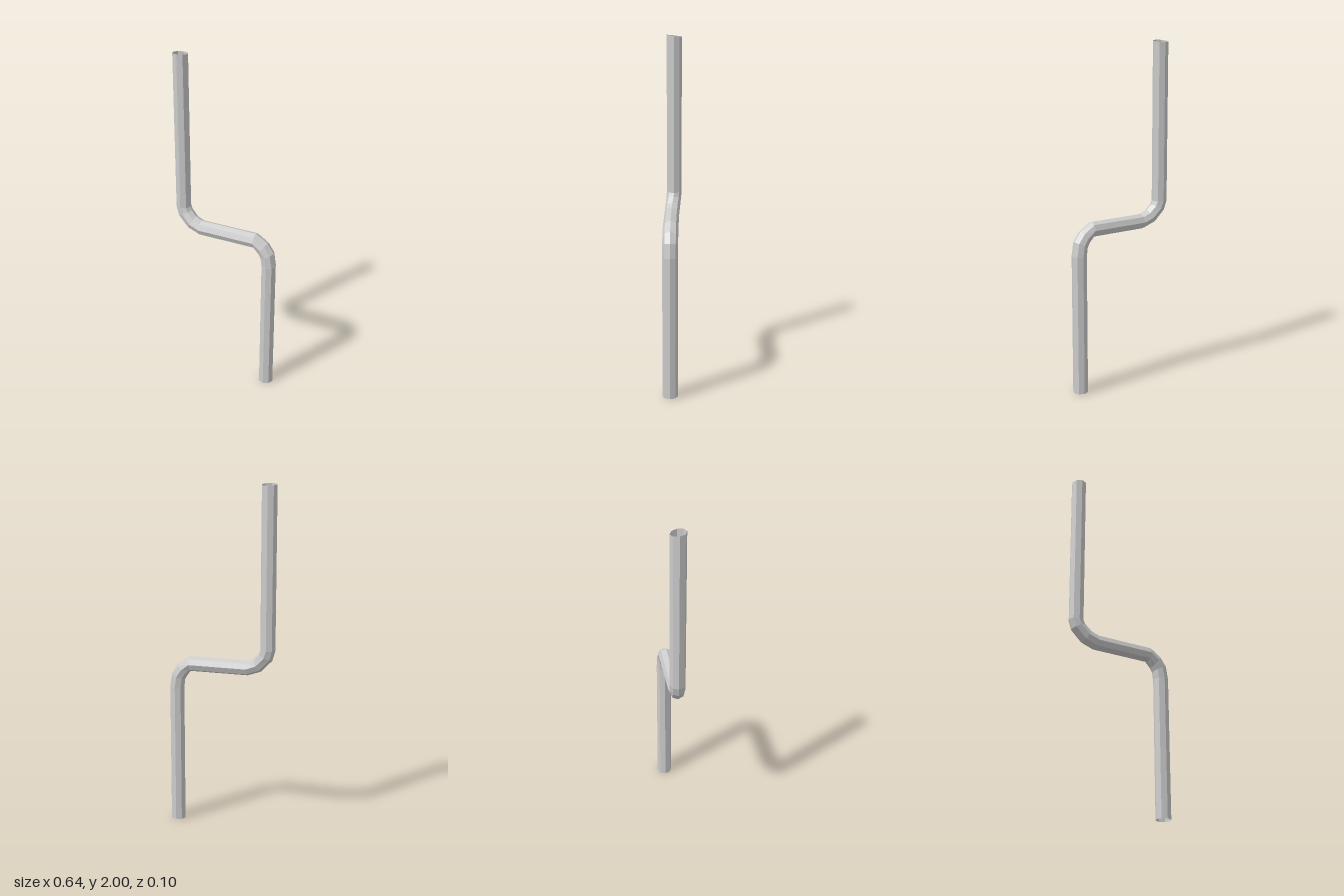
import * as THREE from 'three';

const SIDES = 8;
const RADIUS = 0.044;

// Rings along the pipe, bottom to top: centre x, y, z and heading in degrees
const RINGS = [
  [0.274, 0, 0.006, 90],
  [0.274, 0.82, 0.006, 90],
  [0.264, 0.885, 0.006, 115],
  [0.238, 0.924, 0.006, 145],
  [0.19, 0.962, 0.006, 180],
  [-0.155, 0.962, 0.006, 180],
  [-0.214, 0.985, 0.003, 150],
  [-0.263, 1.036, -0.003, 115],
  [-0.276, 1.075, -0.006, 90],
  [-0.276, 1.995, -0.006, 90],
];

// Skins the rings with quads, leaving both ends open
function sweepRings(rings) {
  const positions = [];
  const indices = [];
  rings.forEach(([x, y, z, heading], ring) => {
    const h = THREE.MathUtils.degToRad(heading);
    for (let i = 0; i < SIDES; i++) {
      const a = (i / SIDES) * Math.PI * 2;
      const across = Math.cos(a) * RADIUS;
      const depth = Math.sin(a) * RADIUS;
      // The top end is cut at a slight slant
      const slant = ring === rings.length - 1 ? depth * 0.12 : 0;
      positions.push(x + across * Math.sin(h), y - across * Math.cos(h) + slant, z + depth);
      if (ring > 0) {
        const j = (i + 1) % SIDES;
        const low = (ring - 1) * SIDES;
        const high = ring * SIDES;
        indices.push(low + i, high + i, low + j, high + i, high + j, low + j);
      }
    }
  });
  const geometry = new THREE.BufferGeometry();
  geometry.setAttribute('position', new THREE.Float32BufferAttribute(positions, 3));
  geometry.setIndex(indices);
  geometry.computeVertexNormals();
  return geometry;
}

export function createModel() {
  const group = new THREE.Group();
  group.name = 'bentPipe';
  const material = new THREE.MeshStandardMaterial({
    color: 0xcccccc,
    flatShading: true,
    side: THREE.DoubleSide,
  });
  const pipe = new THREE.Mesh(sweepRings(RINGS), material);
  pipe.name = 'pipe';
  group.add(pipe);
  return group;
}
